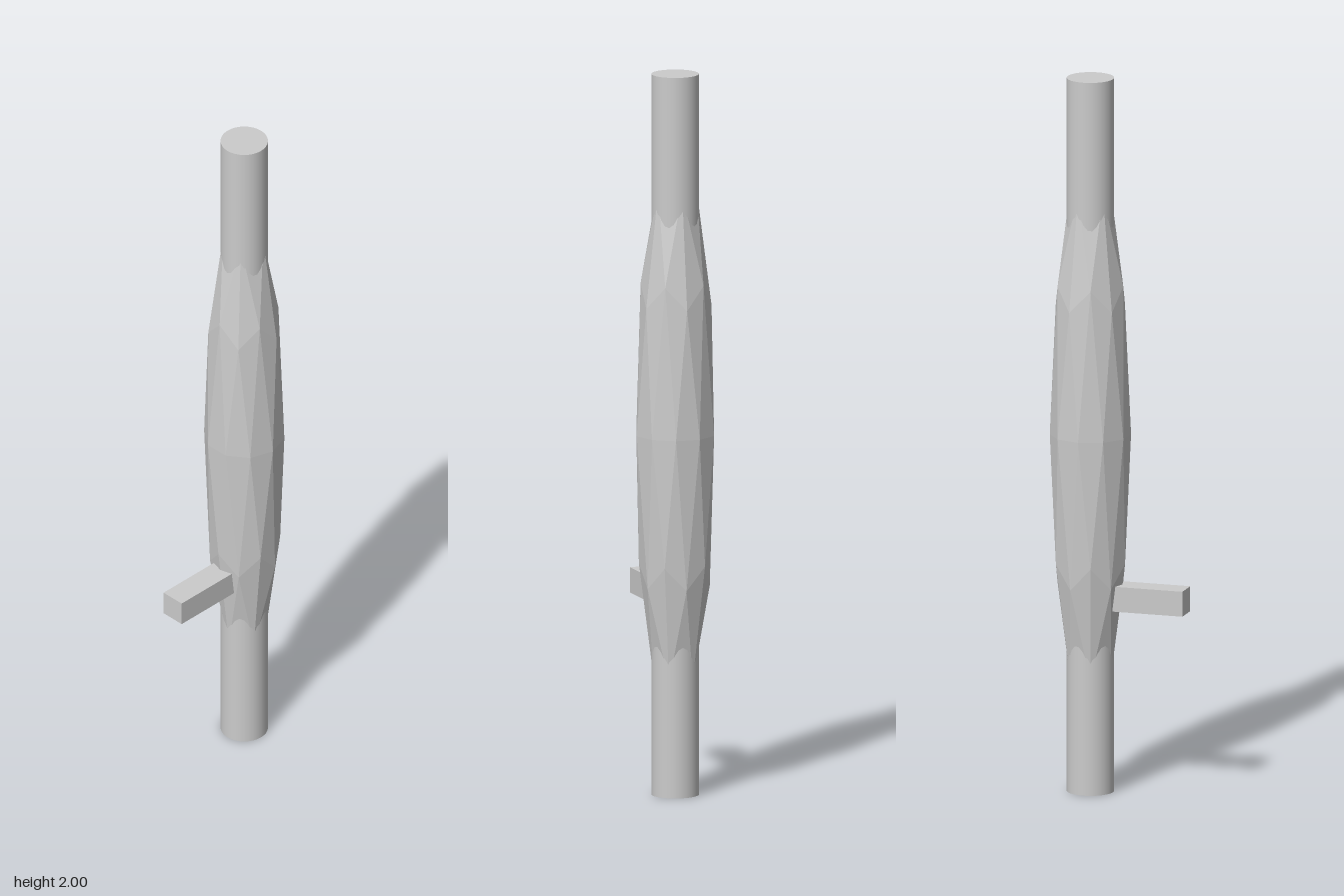
import * as THREE from 'three';

const AXIS_X = 0.085; // the upright stands off-centre to balance the peg

export function createModel() {
  const group = new THREE.Group();
  const smooth = new THREE.MeshStandardMaterial({ color: 0xcccccc });
  const faceted = new THREE.MeshStandardMaterial({ color: 0xcccccc, flatShading: true });

  const add = (name, geometry, material, x, y) => {
    const mesh = new THREE.Mesh(geometry, material);
    mesh.name = name;
    mesh.position.set(x, y, 0);
    group.add(mesh);
  };

  // Straight round rod over the full height
  add('rod', new THREE.CylinderGeometry(0.065, 0.065, 2, 32), smooth, AXIS_X, 1);

  // Faceted swelling: a subdivided icosahedron, pole turned to +y, then stretched
  const bulge = new THREE.IcosahedronGeometry(1, 1);
  bulge.rotateZ(-Math.atan(2 / (1 + Math.sqrt(5))));
  bulge.scale(0.111, 0.8, 0.111);
  bulge.computeVertexNormals();
  add('bulge', bulge, faceted, AXIS_X, 1);

  // Square side peg, running into the bulge
  add('sidePeg', new THREE.BoxGeometry(0.25, 0.07, 0.07), faceted, -0.065, 0.55);

  return group;
}
